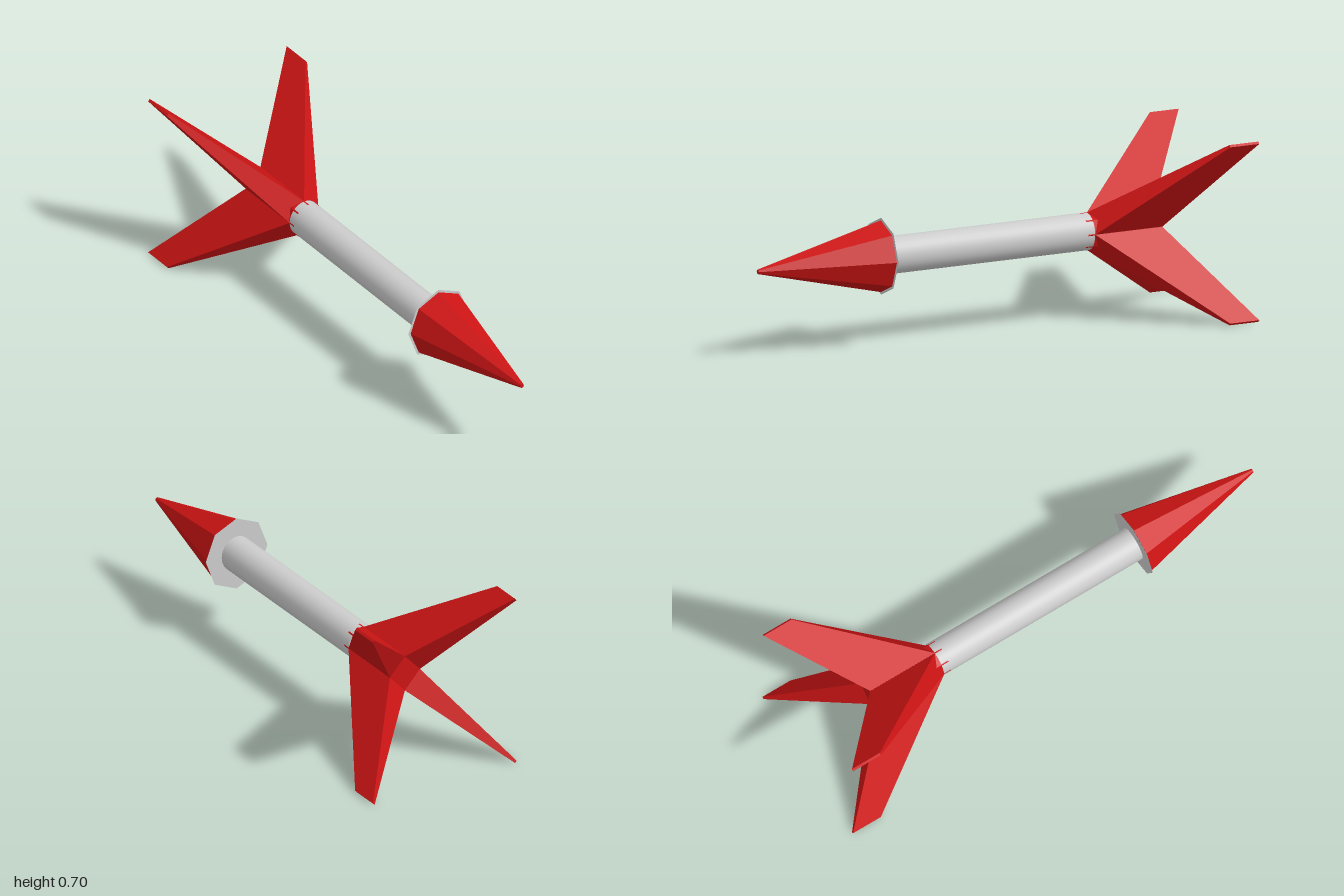
import * as THREE from 'three';
import { ConvexGeometry } from 'three/addons/geometries/ConvexGeometry.js';

const AXIS_Y = 0.354;  // height of the arrow's axis
const SQUASH = 0.93;   // cross-sections are slightly narrower in z than in y

const red = new THREE.MeshStandardMaterial({ color: 0xcc1414, flatShading: true });
const grey = new THREE.MeshStandardMaterial({ color: 0xcccccc });
const greyFlat = new THREE.MeshStandardMaterial({ color: 0xcccccc, side: THREE.DoubleSide });

// Tapered cylinder lying along x, from x0 to x1
function barAlongX(x0, x1, r0, r1, sides, open = false) {
  const g = new THREE.CylinderGeometry(r1, r0, x1 - x0, sides, 1, open);
  g.rotateZ(-Math.PI / 2);
  g.translate((x0 + x1) / 2, 0, 0);
  g.scale(1, 1, SQUASH);
  return g;
}

// Swept wedge fin: a wide root on the core, thinning to a narrow tip
function finGeometry(sy, sz) {
  const points = [];
  const add = (x, y, z) => points.push(new THREE.Vector3(x, sy * y, sz * z));
  for (const x of [-0.43, -0.72]) {
    add(x, 0.073, 0);
    add(x, 0, 0.068);
  }
  for (const x of [-0.875, -1]) {
    add(x, 0.352, 0.318);
    add(x, 0.344, 0.3255);
  }
  return new ConvexGeometry(points);
}

export function createModel() {
  const arrow = new THREE.Group();
  arrow.name = 'arrow';
  const add = (name, geometry, material) => {
    const mesh = new THREE.Mesh(geometry, material);
    mesh.name = name;
    mesh.position.y = AXIS_Y;
    arrow.add(mesh);
  };

  // Shaft
  add('shaft', barAlongX(-0.43, 0.462, 0.0725, 0.0725, 32), grey);

  // Eight-sided head, its blunt tip slightly off the axis
  const head = barAlongX(0.462, 1, 0.14, 0.009, 8);
  const p = head.attributes.position;
  for (let i = 0; i < p.count; i++) {
    if (p.getX(i) > 0.9) p.setZ(i, p.getZ(i) - 0.011);
  }
  add('head', head, red);

  // Thin rim plate behind the head
  const rim = new THREE.CircleGeometry(0.15, 8);
  rim.rotateY(Math.PI / 2);
  rim.scale(1, 1, SQUASH);
  rim.translate(0.46, 0, 0);
  add('headRim', rim, greyFlat);

  // Core that carries the fins
  add('finCore', barAlongX(-0.72, -0.4, 0.0735, 0.0735, 8), red);

  // Four diagonal fins
  for (const sy of [1, -1]) {
    for (const sz of [1, -1]) {
      add(`${sy > 0 ? 'upper' : 'lower'}${sz > 0 ? 'Front' : 'Back'}Fin`, finGeometry(sy, sz), red);
    }
  }
  return arrow;
}
